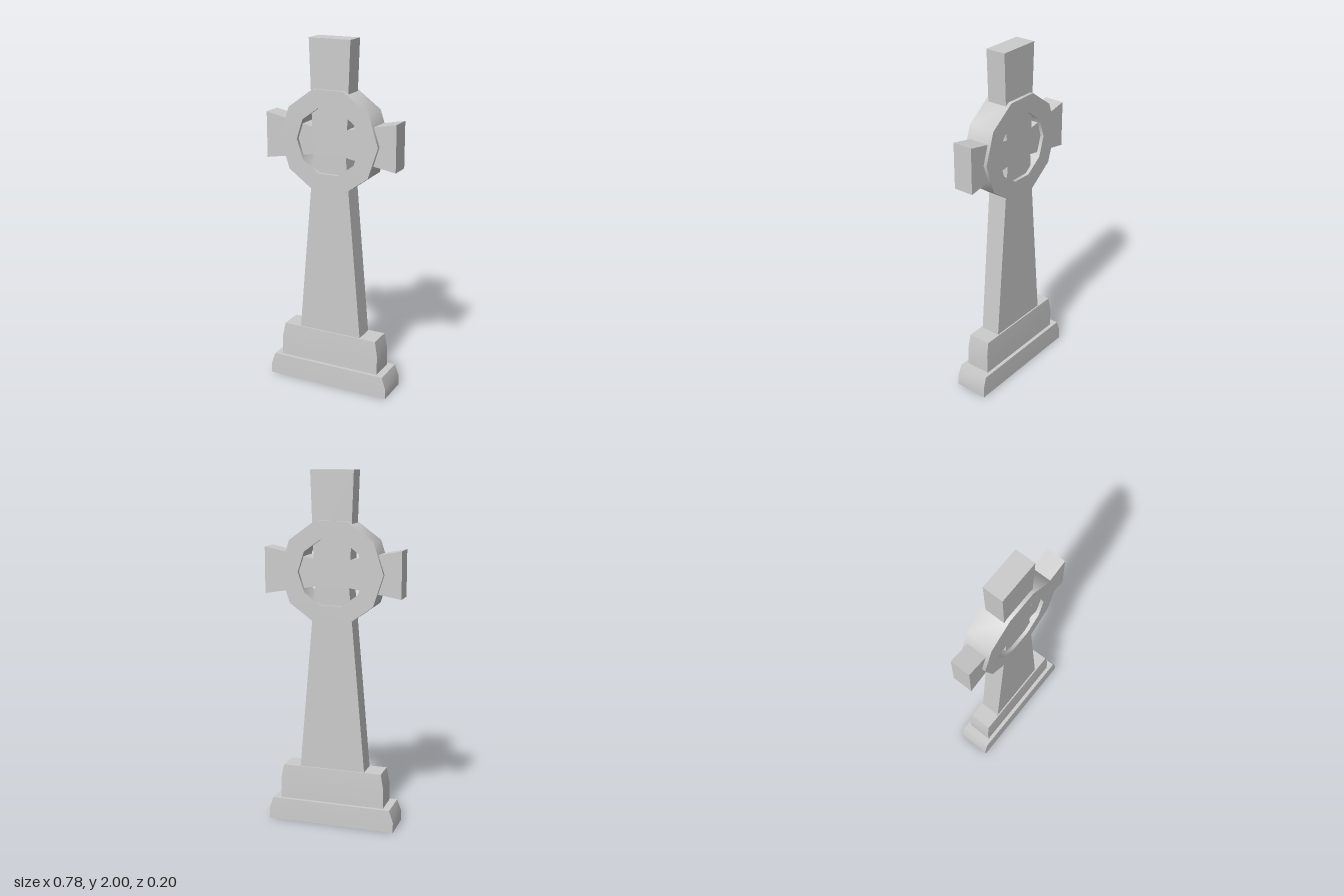
import * as THREE from 'three';
import { toCreasedNormals } from 'three/addons/utils/BufferGeometryUtils.js';

const stone = new THREE.MeshStandardMaterial({ color: 0xcccccc });
const shellStone = new THREE.MeshStandardMaterial({ color: 0xcccccc, side: THREE.DoubleSide });
const CREASE = THREE.MathUtils.degToRad(40);

function addMesh(parent, name, geometry, material = stone) {
  const mesh = new THREE.Mesh(geometry, material);
  mesh.name = name;
  parent.add(mesh);
}

// Extrudes a shape to the given depth, centred on z = 0
function slab(shape, depth) {
  const geometry = new THREE.ExtrudeGeometry(shape, { depth, bevelEnabled: false });
  geometry.translate(0, 0, -depth / 2);
  return geometry;
}

function polygonPoints(sides, radius, cy) {
  return Array.from({ length: sides }, (_, i) => {
    const a = (i / sides) * Math.PI * 2;
    return new THREE.Vector2(Math.cos(a) * radius, cy + Math.sin(a) * radius);
  });
}

// Hollow stepped shell from rectangular sections [halfX, halfZ, y], open below, capped on top
function steppedShell(sections) {
  const positions = [];
  const index = [];
  for (const [x, z, y] of sections) positions.push(-x, y, z, x, y, z, x, y, -z, -x, y, -z);
  for (let s = 0; s < sections.length - 1; s++) {
    for (let i = 0; i < 4; i++) {
      const a = s * 4 + i;
      const b = s * 4 + ((i + 1) % 4);
      index.push(a, b, b + 4, a, b + 4, a + 4);
    }
  }
  const t = (sections.length - 1) * 4;
  index.push(t, t + 1, t + 2, t, t + 2, t + 3);
  const geometry = new THREE.BufferGeometry();
  geometry.setAttribute('position', new THREE.Float32BufferAttribute(positions, 3));
  geometry.setIndex(index);
  return toCreasedNormals(geometry, CREASE);
}

export function createModel() {
  const group = new THREE.Group();
  group.name = 'ringedCross';

  // Two-step plinth
  addMesh(group, 'plinth', steppedShell([
    [0.37, 0.098, 0], [0.37, 0.097, 0.06], [0.347, 0.094, 0.127],
    [0.305, 0.073, 0.127], [0.305, 0.071, 0.24], [0.289, 0.066, 0.325],
  ]), shellStone);

  // Tapered shaft with flared arms: right half outline, mirrored to the left
  const half = [
    [0.19, 0.32], [0.098, 1.37], [0.39, 1.32], [0.39, 1.58], [0.105, 1.523], [0.122, 2],
  ];
  const outline = [...half, ...half.map(([x, y]) => [-x, y]).reverse()];
  const cross = new THREE.Shape(outline.map(([x, y]) => new THREE.Vector2(x, y)));
  addMesh(group, 'shaftAndArms', slab(cross, 0.116));

  // Ten-sided ring around the crossing
  const ring = new THREE.Shape(polygonPoints(10, 0.295, 1.45));
  ring.holes.push(new THREE.Path(polygonPoints(10, 0.19, 1.45).reverse()));
  addMesh(group, 'ring', toCreasedNormals(slab(ring, 0.156), CREASE));

  return group;
}
